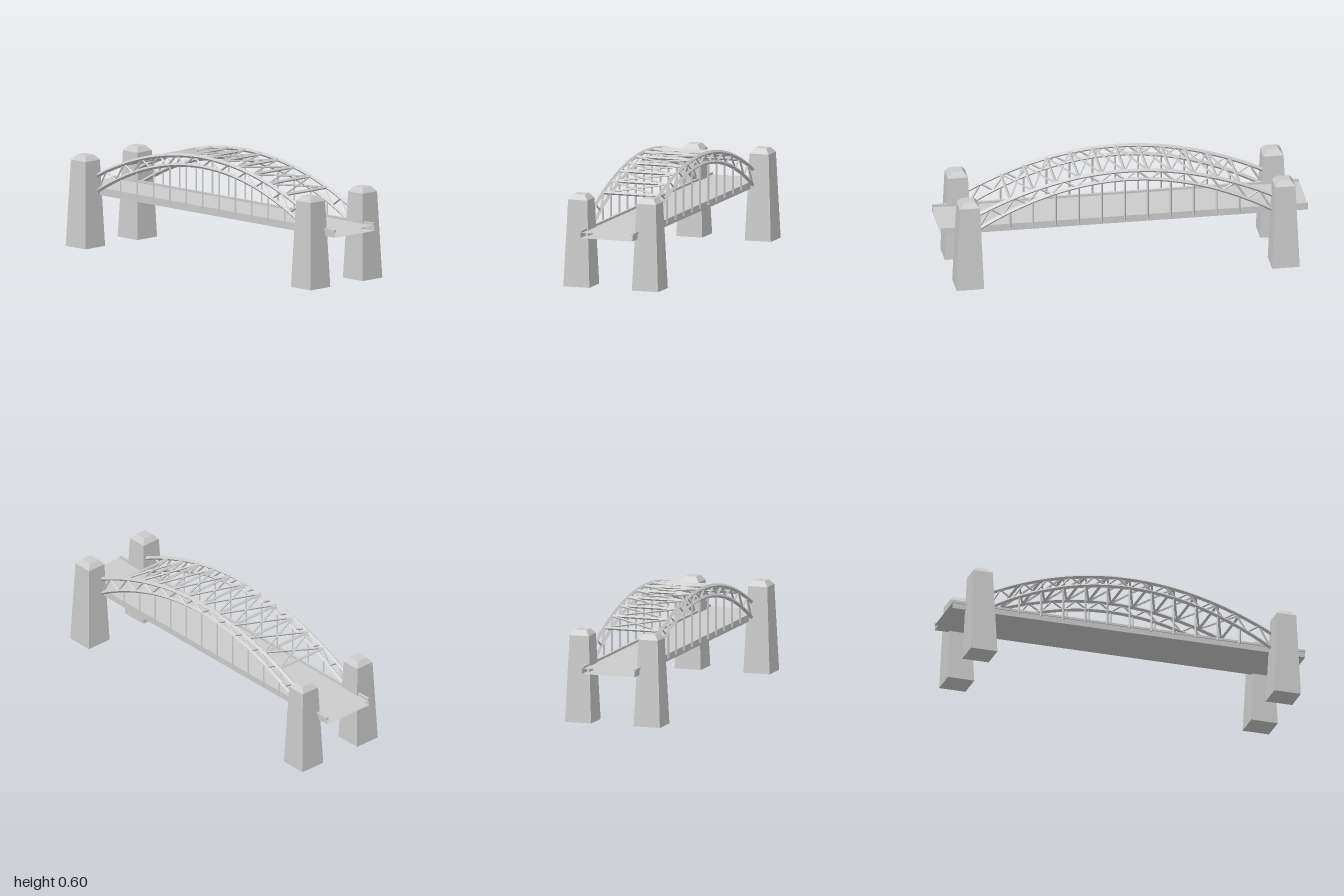
import * as THREE from 'three';

const mat = new THREE.MeshStandardMaterial({ color: 0xcccccc, flatShading: true });
const open = new THREE.MeshStandardMaterial({ color: 0xcccccc, flatShading: true, side: THREE.DoubleSide });
const UP = new THREE.Vector3(0, 1, 0);
const V = (x, y, z) => new THREE.Vector3(x, y, z);

const SPAN = 0.81, ARCH_Z = 0.161, PANEL = 0.125;
const topY = x => 0.59 - 0.2 * (x / 0.8) ** 2;
const lowY = x => 0.54 - 0.235 * (x / 0.8) ** 2;

function add(parent, name, geometry, material = mat) {
  const mesh = new THREE.Mesh(geometry, material);
  mesh.name = name;
  parent.add(mesh);
  return mesh;
}

// Straight four-sided bar between two points
function bar(parent, name, a, b, r) {
  const mesh = add(parent, name, new THREE.CylinderGeometry(r, r, a.distanceTo(b), 4));
  mesh.position.lerpVectors(a, b, 0.5);
  mesh.quaternion.setFromUnitVectors(UP, b.clone().sub(a).normalize());
  return mesh;
}

// Curved chord: a diamond section swept along the arch
function chordGeometry(heightAt, z, r, n = 32) {
  const pos = [], idx = [];
  for (let i = 0; i <= n; i++) {
    const x = -SPAN + (2 * SPAN * i) / n;
    const slope = (heightAt(x + 0.001) - heightAt(x - 0.001)) / 0.002;
    const len = Math.hypot(1, slope);
    for (let k = 0; k < 4; k++) {
      const a = (k * Math.PI) / 2;
      const up = r * Math.cos(a);
      pos.push(x - (up * slope) / len, heightAt(x) + up / len, z + r * Math.sin(a));
      if (i < n) {
        const p = i * 4 + k, q = i * 4 + ((k + 1) % 4);
        idx.push(p, q, p + 4, q, q + 4, p + 4);
      }
    }
  }
  const g = new THREE.BufferGeometry();
  g.setAttribute('position', new THREE.Float32BufferAttribute(pos, 3));
  g.setIndex(idx);
  g.computeVertexNormals();
  return g;
}

// Square tapered tower with a bevelled cap
function tower(x, z) {
  const group = new THREE.Group();
  group.name = 'tower';
  const frustum = (name, top, bottom, y0, y1) => {
    const s = Math.SQRT2;
    const g = new THREE.CylinderGeometry(top * s, bottom * s, y1 - y0, 4);
    g.rotateY(Math.PI / 4).translate(0, (y0 + y1) / 2, 0);
    add(group, name, g);
  };
  frustum('towerShaft', 0.055, 0.075, 0, 0.472);
  frustum('towerCap', 0.032, 0.055, 0.472, 0.5);
  group.position.set(x, 0, z);
  return group;
}

// One arch: two chords, zigzag web, hangers
function arch(z) {
  const group = new THREE.Group();
  group.name = 'arch';
  add(group, 'upperChord', chordGeometry(topY, z, 0.0115), open);
  add(group, 'lowerChord', chordGeometry(lowY, z, 0.0115), open);
  const n = 24, step = 1.6 / n;
  for (let i = 0; i < n; i++) {
    const a = -0.8 + i * step, b = a + step;
    const [ya, yb] = i % 2 ? [topY(a), lowY(b)] : [lowY(a), topY(b)];
    bar(group, 'webBar', V(a, ya, z), V(b, yb, z), 0.006);
  }
  for (let i = -5; i <= 5; i++) {
    const x = i * PANEL;
    bar(group, 'hanger', V(x, 0.3, z), V(x, lowY(x), z), 0.006);
  }
  return group;
}

export function createModel() {
  const model = new THREE.Group();
  model.name = 'archBridge';

  // Deck: four thin faces, open at both ends
  const deck = new THREE.Group();
  deck.name = 'deck';
  model.add(deck);
  const sheet = (name, depth, y, z, tilt) => {
    const m = add(deck, name, new THREE.PlaneGeometry(2, depth), open);
    m.position.set(0, y, z);
    m.rotation.x = tilt;
  };
  sheet('roadSurface', 0.3, 0.31, 0, -Math.PI / 2);
  sheet('deckUnderside', 0.3, 0.28, 0, Math.PI / 2);
  sheet('deckFrontSide', 0.03, 0.295, 0.15, 0);
  sheet('deckBackSide', 0.03, 0.295, -0.15, Math.PI);

  for (const side of [-1, 1]) {
    const curb = add(deck, 'curb', new THREE.BoxGeometry(2, 0.012, 0.014));
    curb.position.set(0, 0.316, side * 0.149);
    model.add(arch(side * ARCH_Z));
    for (const end of [-1, 1]) model.add(tower(end * 0.86, side * 0.197));
  }

  // Cross struts and X bracing between the upper chords
  const bracing = new THREE.Group();
  bracing.name = 'lateralBracing';
  model.add(bracing);
  for (let i = -5; i <= 5; i++) {
    const x = i * PANEL, x2 = x + PANEL;
    bar(bracing, 'crossStrut', V(x, topY(x), -ARCH_Z), V(x, topY(x), ARCH_Z), 0.0085);
    if (i === 5) break;
    for (const s of [-1, 1])
      bar(bracing, 'crossBrace', V(x, topY(x), s * ARCH_Z), V(x2, topY(x2), -s * ARCH_Z), 0.006);
  }
  return model;
}
